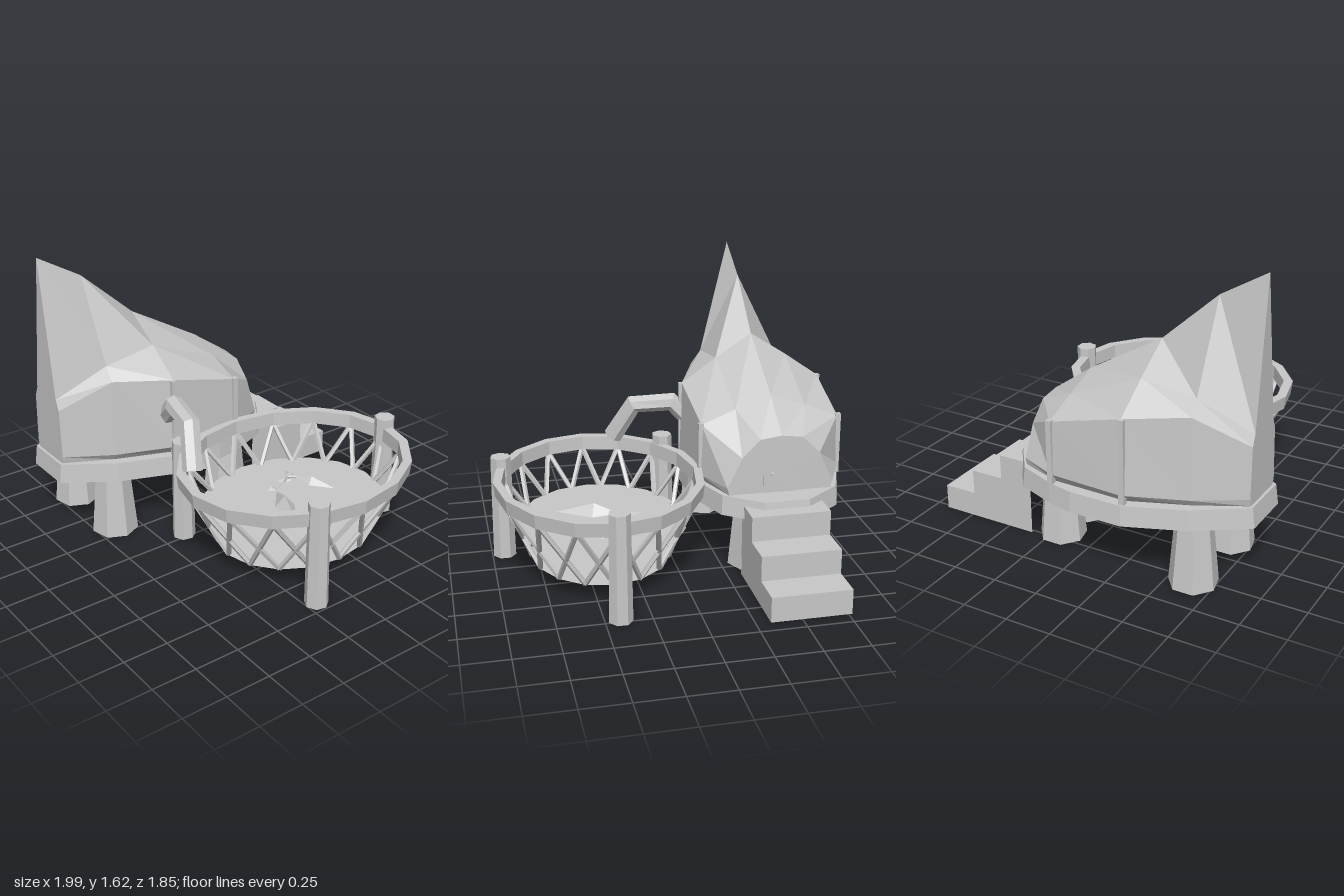
import * as THREE from 'three';

const grey = new THREE.MeshStandardMaterial({ color: 0xc8c8c8, flatShading: true, side: THREE.DoubleSide });

const HOUSE = { x: -0.555, z: 0.23 };
const BASKET = { x: 0.415, z: -0.073 };
const V = (x, y, z) => new THREE.Vector3(x, y, z);
const shape = (points) => new THREE.Shape(points.map(([x, y]) => new THREE.Vector2(x, y)));

// skin over a row of equal rings; the last ring is always capped
function loft(rings, closed, startCap) {
  const n = rings[0].length, last = (rings.length - 1) * n, index = [];
  for (let i = 0; i < last; i += n) {
    for (let j = 0; j < (closed ? n : n - 1); j++) {
      const a = i + j, b = i + (j + 1) % n;
      index.push(a, b, b + n, a, b + n, a + n);
    }
  }
  for (let j = 1; j < n - 1; j++) {
    index.push(last, last + j, last + j + 1);
    if (startCap) index.push(0, j + 1, j);
  }
  const g = new THREE.BufferGeometry();
  g.setAttribute('position', new THREE.Float32BufferAttribute(rings.flat(2), 3));
  g.setIndex(index);
  g.computeVertexNormals();
  return g;
}

// angular pipe through a few points, with mitred corners
function pipe(points, r, sides) {
  const path = new THREE.Curve();
  const n = points.length - 1;
  path.getPoint = (t) => {
    const i = Math.min(Math.floor(t * n), n - 1);
    return points[i].clone().lerp(points[i + 1], t * n - i);
  };
  path.getPointAt = path.getPoint;
  path.getTangentAt = path.getTangent;
  return new THREE.TubeGeometry(path, n, r, sides, false);
}

export function createModel() {
  const model = new THREE.Group();

  function add(parent, name, geometry, x = 0, y = 0, z = 0) {
    const mesh = new THREE.Mesh(geometry, grey);
    mesh.name = name;
    mesh.position.set(x, y, z);
    parent.add(mesh);
    return mesh;
  }
  function group(name) {
    const g = new THREE.Group();
    g.name = name;
    model.add(g);
    return g;
  }
  // straight rod between two points
  function rod(parent, name, a, b, r, sides) {
    const mesh = add(parent, name, new THREE.CylinderGeometry(r, r, a.distanceTo(b), sides));
    mesh.position.copy(a).add(b).multiplyScalar(0.5);
    mesh.quaternion.setFromUnitVectors(V(0, 1, 0), b.clone().sub(a).normalize());
  }

  // ---- House ----
  const house = group('house');

  // platform: slightly flared rim, open underneath
  const plan = [[0.14, 0.685], [0.315, 0.42], [0.435, 0.11], [0.435, -0.18], [0.405, -0.32], [0.325, -0.53], [0.125, -0.68]];
  const outline = [...plan, ...plan.slice().reverse().map(([x, z]) => [-x, z])];
  const level = (y, s) => outline.map(([x, z]) => [HOUSE.x + x * s, y, HOUSE.z + z * s]);
  add(house, 'platform', loft([level(0.35, 1.02), level(0.46, 1)], true, false));

  // hull: half cross-sections from back to front, bottom to ridge
  const sections = [
    [-0.31, [[0.29, 0.46], [0.3, 0.5], [0.22, 0.67], [0.12, 0.77], [0, 0.785]]],
    [-0.085, [[0.37, 0.46], [0.405, 0.51], [0.395, 0.8], [0.2, 0.875], [0, 0.945]]],
    [0.335, [[0.38, 0.46], [0.425, 0.51], [0.41, 0.915], [0.21, 1.055], [0, 1.19]]],
    [0.645, [[0.26, 0.46], [0.29, 0.5], [0.28, 0.94], [0.225, 1.015], [0, 1.47]]],
    [0.9, [[0.13, 0.46], [0.14, 0.5], [0.13, 0.78], [0.105, 0.84], [0, 1.62]]],
  ];
  const hullRings = sections.map(([z, half]) =>
    [...half, ...half.slice(0, 4).reverse().map(([x, y]) => [-x, y])].map(([x, y]) => [HOUSE.x + x, y, z]));
  add(house, 'hull', loft(hullRings, false, true));

  // upright ribs and tapered open legs on both sides
  for (const s of [-1, 1]) {
    for (const [z, w, top] of [[-0.085, 0.398, 0.81], [0.34, 0.412, 0.915]]) {
      add(house, 'rib', new THREE.BoxGeometry(0.03, top - 0.46, 0.03), HOUSE.x + s * w, (top + 0.46) / 2, z);
    }
    for (const [name, x, z, r] of [['frontLeg', 0.217, 0.635, 0.132], ['backLeg', 0.135, -0.2, 0.128]]) {
      add(house, name, new THREE.CylinderGeometry(r * 0.72, r, 0.4, 7, 1, true), HOUSE.x + s * x, 0.2, z)
        .rotation.y = Math.PI / 2;
    }
  }

  // arched door at the back with a small knob
  const arch = shape([[-0.1, 0.46], [0.1, 0.46], [0.1, 0.6], [0.05, 0.68], [0, 0.71], [-0.05, 0.68], [-0.1, 0.6]]);
  add(house, 'door', new THREE.ExtrudeGeometry(arch, { depth: 0.005, bevelEnabled: false }), HOUSE.x, 0, -0.315);
  add(house, 'doorKnob', new THREE.IcosahedronGeometry(0.01), HOUSE.x + 0.05, 0.57, -0.32);

  // back steps: hollow, made of treads, risers and side walls
  const steps = group('steps');
  const rise = 0.14, run = 0.19, width = 0.44;
  for (let i = 0; i < 3; i++) {
    const z = -0.92 + i * run;
    add(steps, 'tread', new THREE.PlaneGeometry(width, run), -0.55, rise * (i + 1), z + run / 2).rotation.x = -Math.PI / 2;
    add(steps, 'riser', new THREE.PlaneGeometry(width, rise), -0.55, rise * (i + 0.5), z).rotation.y = Math.PI;
  }
  const side = shape([[0.92, 0], [0.92, 0.14], [0.73, 0.14], [0.73, 0.28], [0.54, 0.28], [0.54, 0.42], [0.35, 0.42], [0.35, 0]]);
  for (const s of [-1, 1]) {
    add(steps, 'sideWall', new THREE.ShapeGeometry(side), -0.55 + s * width / 2).rotation.y = Math.PI / 2;
  }

  // ---- Basket ----
  const basket = group('basket');
  const rim = [[0.915, 0.47], [0.985, 0.47], [1, 0.55], [0.92, 0.55], [0.915, 0.47]].map(([x, y]) => new THREE.Vector2(x, y));
  add(basket, 'rim', new THREE.LatheGeometry(rim, 16), BASKET.x, 0, BASKET.z).scale.set(0.58, 1, 0.68);

  // crossed lattice between the rim and the floor
  const ringPoint = (k, rx, y, rz) => {
    const a = k * Math.PI / 8;
    return V(BASKET.x + Math.sin(a) * rx, y, BASKET.z + Math.cos(a) * rz);
  };
  for (let k = 0; k < 16; k++) {
    for (const s of [-1, 1]) {
      rod(basket, 'latticeBar', ringPoint(k, 0.55, 0.48, 0.645), ringPoint(k + s, 0.385, 0.105, 0.45), 0.015, 5);
    }
  }

  // floor and scalloped water surface
  const floor = add(basket, 'floor', new THREE.CircleGeometry(1, 16), BASKET.x, 0.1, BASKET.z);
  floor.rotation.x = Math.PI / 2;
  floor.scale.set(0.39, 0.455, 1);
  const edge = [];
  for (let i = 0; i < 64; i++) {
    const a = i * Math.PI / 32, r = 1 + 0.012 * Math.cos(16 * a);
    edge.push([Math.cos(a) * r * 0.465, Math.sin(a) * r * 0.53]);
  }
  add(basket, 'waterSurface', new THREE.ShapeGeometry(shape(edge)), BASKET.x - 0.01, 0.275, BASKET.z)
    .rotation.x = -Math.PI / 2;

  // posts around the rim, open at the foot
  const postProfile = [[0.065, 0], [0.058, 0.6], [0, 0.6]].map(([x, y]) => new THREE.Vector2(x, y));
  for (const [x, z] of [[0.417, -0.73], [0.93, 0.19], [-0.03, 0.365]]) {
    add(basket, 'post', new THREE.LatheGeometry(postProfile, 7), x, 0, z);
  }

  // ---- Spout ----
  const spout = group('spout');
  const bend = [V(-0.2, 0.68, 0.35), V(-0.09, 0.795, 0.37), V(0.125, 0.78, 0.415), V(0.24, 0.57, 0.48)];
  add(spout, 'spoutPipe', pipe(bend, 0.056, 7));

  // ---- Plant floating on the water ----
  const plant = group('plant');
  function leaf(x0, z0, x1, z1, width, height) {
    const dx = x1 - x0, dz = z1 - z0, len = Math.hypot(dx, dz);
    const nx = -dz / len * width / 2, nz = dx / len * width / 2;
    const mx = x0 + dx * 0.4, mz = z0 + dz * 0.4, y = 0.282;
    const g = new THREE.BufferGeometry();
    g.setAttribute('position', new THREE.Float32BufferAttribute([
      x0, y + 0.01, z0, mx + nx, y, mz + nz, x1, y, z1, mx - nx, y, mz - nz, mx, y + height, mz], 3));
    g.setIndex([0, 1, 4, 1, 2, 4, 2, 3, 4, 3, 0, 4]);
    g.computeVertexNormals();
    add(plant, 'leaf', g);
  }
  leaf(0.24, -0.23, 0.455, -0.335, 0.07, 0.04);
  leaf(0.3, -0.04, 0.635, 0.08, 0.11, 0.065);
  leaf(0.23, -0.22, 0.12, -0.24, 0.05, 0.02);
  leaf(0.25, -0.19, 0.19, -0.13, 0.05, 0.02);
  leaf(0.3, -0.05, 0.17, -0.03, 0.06, 0.02);
  const stem = [V(0.24, 0.295, -0.23), V(0.22, 0.3, -0.18), V(0.27, 0.305, -0.12), V(0.3, 0.295, -0.04)];
  add(plant, 'stem', pipe(stem, 0.008, 4));

  return model;
}
